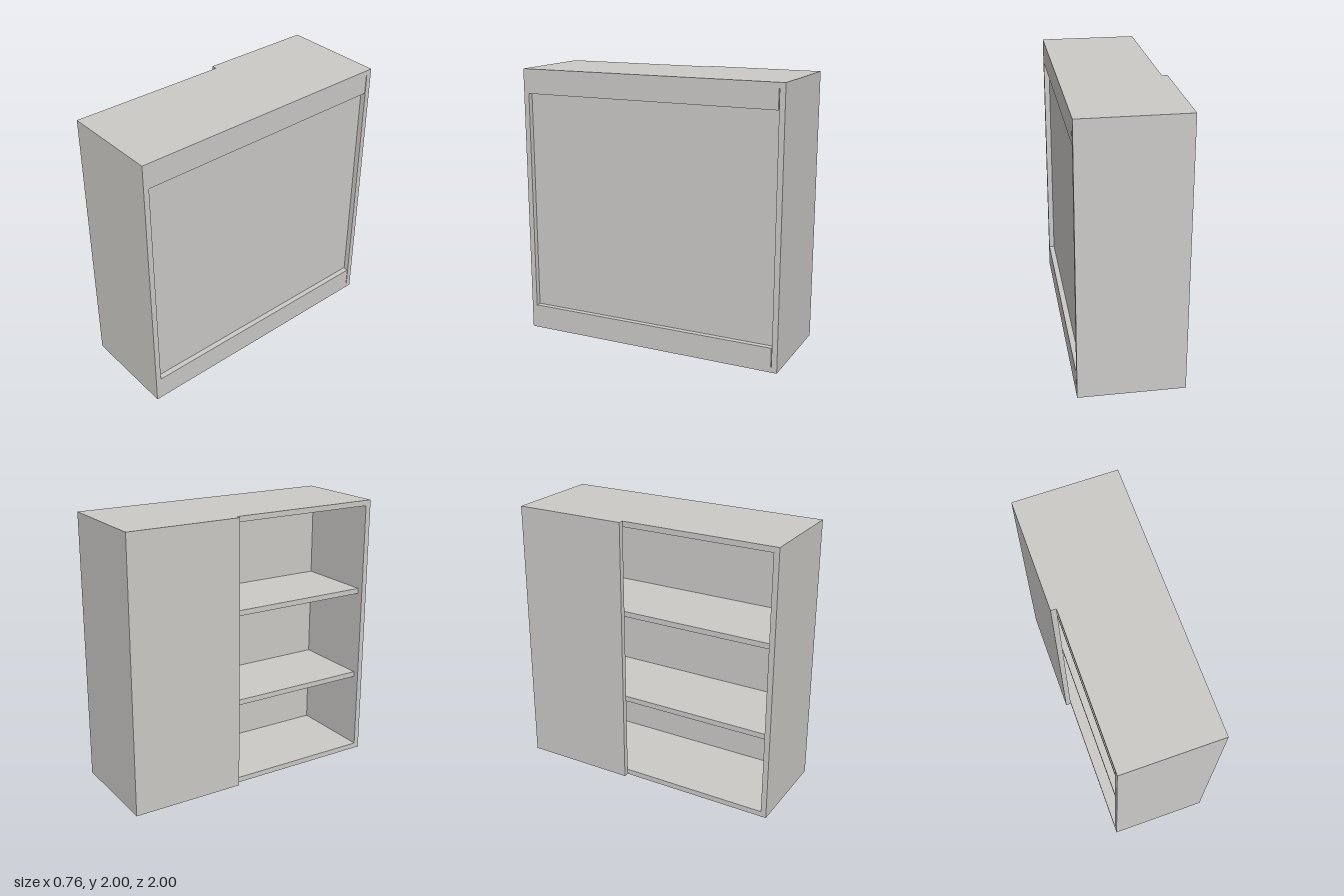
import * as THREE from 'three';

export function createModel() {
  const group = new THREE.Group();
  group.name = 'cabinet';
  const paint = new THREE.MeshStandardMaterial({ color: 0xcccac7 });
  paint.name = 'warm grey';

  // Adds a board from its low and high limits on each axis
  function board(name, [x0, x1], [y0, y1], [z0, z1]) {
    const mesh = new THREE.Mesh(new THREE.BoxGeometry(x1 - x0, y1 - y0, z1 - z0), paint);
    mesh.position.set((x0 + x1) / 2, (y0 + y1) / 2, (z0 + z1) / 2);
    mesh.name = name;
    group.add(mesh);
  }

  const T = 0.04; // board thickness
  const depth = [-0.34, 0.38];
  const inside = [-0.96, 0.96];

  // Carcass: floor, top and two end walls
  board('floorBoard', depth, [0, T], [-1, 1]);
  board('topBoard', depth, [2 - T, 2], [-1, 1]);
  board('frontEndWall', depth, [T, 2 - T], [0.96, 1]);
  board('backEndWall', depth, [T, 2 - T], [-1, -0.96]);

  // Recessed panel with a rail above and below, leaving a hairline gap at one end
  board('recessedPanel', [0.3, 0.34], [T, 2 - T], inside);
  board('lowerRail', [0.34, 0.38], [T, 0.18], [-0.955, 0.96]);
  board('upperRail', [0.34, 0.38], [1.82, 2 - T], [-0.955, 0.96]);

  // Shelves, set back from the open side
  for (const top of [0.64, 1.32]) board('shelf', [-0.295, 0.3], [top - T, top], inside);

  // Sliding door covering part of the open side
  board('slidingDoor', [-0.38, -0.34], [0, 2], [-1, -0.16]);

  return group;
}
